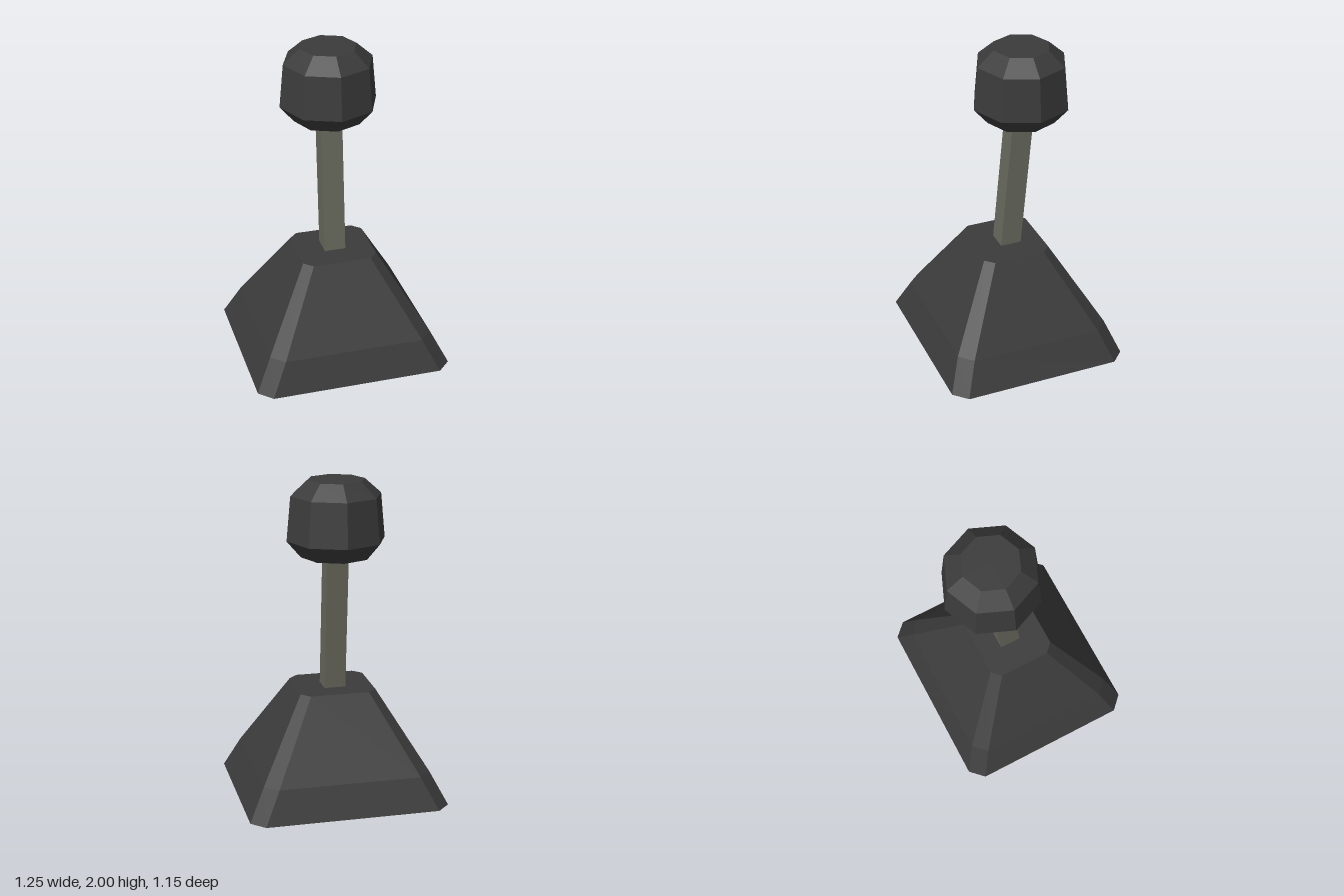
import * as THREE from 'three';

// Chamfered rectangle in the xz plane, counter-clockwise seen from below
function ring(y, hx, hz, c) {
  return [
    [hx, hz - c], [hx - c, hz], [c - hx, hz], [-hx, hz - c],
    [-hx, c - hz], [c - hx, -hz], [hx - c, -hz], [hx, c - hz],
  ].map(([x, z]) => new THREE.Vector3(x, y, z));
}

// Closed solid through a stack of rings, listed bottom to top
function loft(rings) {
  const pts = [];
  const n = rings[0].length;
  for (let r = 0; r < rings.length - 1; r++) {
    const lo = rings[r], hi = rings[r + 1];
    for (let i = 0; i < n; i++) {
      const j = (i + 1) % n;
      pts.push(lo[i], hi[i], hi[j], lo[i], hi[j], lo[j]);
    }
  }
  const bottom = rings[0], top = rings[rings.length - 1];
  for (let i = 1; i < n - 1; i++) {
    pts.push(bottom[0], bottom[i], bottom[i + 1]);
    pts.push(top[0], top[i + 1], top[i]);
  }
  const geometry = new THREE.BufferGeometry().setFromPoints(pts);
  geometry.computeVertexNormals();
  return geometry;
}

export function createModel() {
  const group = new THREE.Group();
  const black = new THREE.MeshStandardMaterial({ color: 0x3b3b3b, flatShading: true });
  black.name = 'black rubber';
  const metal = new THREE.MeshStandardMaterial({ color: 0x68695d, flatShading: true });
  metal.name = 'grey metal';

  const add = (name, geometry, material) => {
    const mesh = new THREE.Mesh(geometry, material);
    mesh.name = name;
    group.add(mesh);
    return mesh;
  };

  // Tapered boot with chamfered corners
  add('boot', loft([
    ring(0, 0.623, 0.577, 0.082),
    ring(0.2, 0.522, 0.498, 0.08),
    ring(0.68, 0.238, 0.217, 0.054),
  ]), black);

  // Square shaft leaning back, sheared so its ends stay level
  const shaft = new THREE.BoxGeometry(0.134, 0.92, 0.134);
  shaft.translate(0, 1.12, 0);
  const p = shaft.attributes.position;
  for (let i = 0; i < p.count; i++) {
    p.setZ(i, p.getZ(i) - 0.012 - (p.getY(i) - 0.68) * 0.092);
  }
  shaft.computeVertexNormals();
  add('shaft', shaft, metal);

  // Eight-sided knob
  const profile = [[0, 1.532], [0.217, 1.532], [0.305, 1.635], [0.28, 1.908], [0.177, 2], [0, 2]]
    .map(([r, y]) => new THREE.Vector2(r, y));
  add('knob', new THREE.LatheGeometry(profile, 8), black).position.z = -0.103;

  return group;
}
